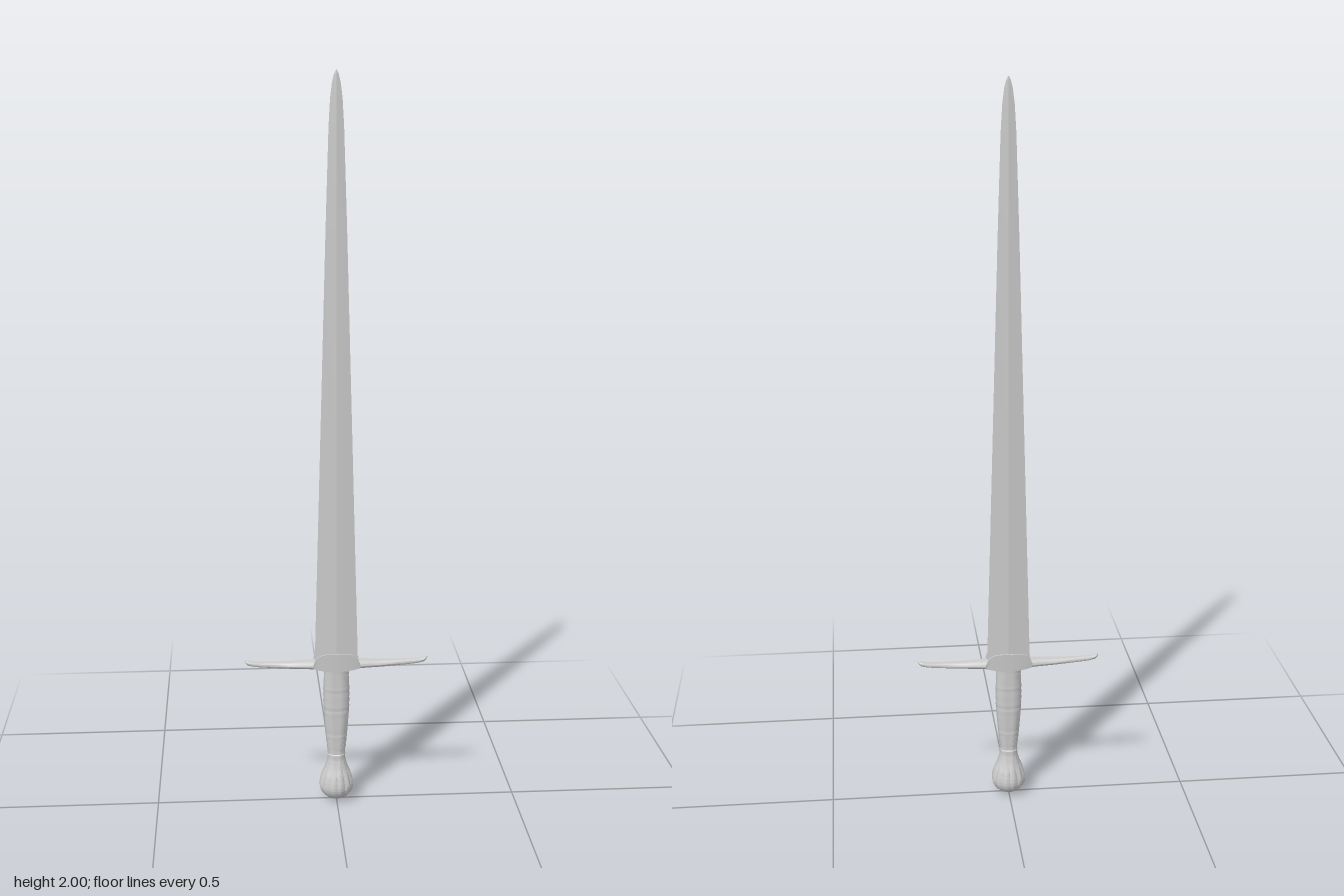
import * as THREE from 'three';
import { toCreasedNormals } from 'three/addons/utils/BufferGeometryUtils.js';

const material = new THREE.MeshStandardMaterial({ color: 0xcccccc });

// Skins a list of rings (each a list of [x, y, z]) and caps both ends.
function loft(name, rings, crease = 0.7) {
  const n = rings[0].length, last = (rings.length - 1) * n;
  const points = rings.flat();
  const index = [];
  for (let r = 0; r < rings.length - 1; r++) {
    for (let i = 0; i < n; i++) {
      const a = r * n + i, b = r * n + (i + 1) % n;
      index.push(a, b, a + n, b, b + n, a + n);
    }
  }
  for (const ring of [rings[0], rings[rings.length - 1]]) {
    points.push([0, 1, 2].map(k => ring.reduce((s, p) => s + p[k], 0) / n));
  }
  const c = rings.length * n;
  for (let i = 0; i < n; i++) {
    const j = (i + 1) % n;
    index.push(c, j, i, c + 1, last + i, last + j);
  }
  const geometry = new THREE.BufferGeometry();
  geometry.setAttribute('position', new THREE.Float32BufferAttribute(points.flat(), 3));
  geometry.setIndex(index);
  const mesh = new THREE.Mesh(toCreasedNormals(geometry, crease), material);
  mesh.name = name;
  return mesh;
}

// Ring around the y axis; shape(angle) scales the radius.
const ringY = (n, y, rx, rz, shape = () => 1) => Array.from({ length: n }, (_, i) => {
  const a = i / n * Math.PI * 2, s = shape(a);
  return [Math.cos(a) * rx * s, y, -Math.sin(a) * rz * s];
});

// Smooth profile through [y, r] points, sampled evenly.
const sample = (pts, count) =>
  new THREE.SplineCurve(pts.map(p => new THREE.Vector2(...p))).getPoints(count);

// Diamond-section blade with a central ridge and rounded point
function blade() {
  const profile = [[0.4, 0.06, 0.0065], [1.0, 0.044, 0.005], [1.6, 0.028, 0.004], [1.86, 0.02, 0.0035],
    [1.93, 0.016, 0.003], [1.97, 0.011, 0.002], [1.99, 0.006, 0.0015], [2.0, 0.001, 0.0005]];
  return loft('blade', profile.map(([y, w, d]) => ringY(4, y, w, d)), 0.08);
}

// Crossguard arms taper outwards and curl up at the ends
function guard() {
  const half = [[0, 0.402, 0.014, 0.027], [0.04, 0.402, 0.014, 0.025], [0.08, 0.402, 0.012, 0.02],
    [0.13, 0.402, 0.01, 0.015], [0.19, 0.404, 0.008, 0.011], [0.225, 0.406, 0.007, 0.0095],
    [0.243, 0.41, 0.007, 0.008], [0.25, 0.414, 0.005, 0.005], [0.253, 0.417, 0.001, 0.001]];
  const left = half.slice(1).reverse().map(([x, ...rest]) => [-x, ...rest]);
  return loft('crossguard', [...left, ...half].map(([x, y, h, d]) =>
    Array.from({ length: 16 }, (_, i) => {
      const a = i / 16 * Math.PI * 2;
      return [x, y + Math.cos(a) * h, Math.sin(a) * d];
    })));
}

// Curved, round-shouldered plate standing on one side of the guard
function guardPlate(name) {
  const rings = [];
  for (let i = 0; i <= 20; i++) {
    const t = i / 10 - 1, x = t * 0.065;
    const top = 0.405 + 0.035 * Math.pow(Math.max(0, 1 - t ** 4), 0.6);
    const bottom = 0.388 + 0.008 * t * t, z = 0.027 - 0.006 * t * t;
    rings.push([[x, top, z], [x, top, z + 0.004], [x, bottom, z + 0.002], [x, bottom, z - 0.003]]);
  }
  return loft(name, rings);
}

// Oval grip with a faint wrapped ripple
function grip() {
  const profile = sample([[0.125, 0.022], [0.18, 0.028], [0.25, 0.034], [0.32, 0.036], [0.395, 0.033]], 64);
  return loft('grip', profile.map(({ x: y, y: w }, i) => {
    const ripple = i % 4 < 2 ? 0 : 0.0008;
    return ringY(24, y, w + ripple, 0.022 + (w - 0.022) * 0.15 + ripple);
  }), 1);
}

// Fluted pear-shaped pommel
function pommel() {
  const profile = sample([[0, 0.002], [0.004, 0.016], [0.015, 0.034], [0.032, 0.046], [0.05, 0.048],
    [0.075, 0.042], [0.1, 0.032], [0.125, 0.025], [0.137, 0.025], [0.142, 0.018]], 36);
  return loft('pommel', profile.map(({ x: y, y: r }) => {
    const depth = 0.1 * Math.sin(Math.PI * THREE.MathUtils.clamp(y / 0.125, 0, 1));
    return ringY(72, y, r, r, a => 1 - depth * (1 - Math.abs(Math.sin(a * 6))));
  }));
}

export function createModel() {
  const sword = new THREE.Group();
  sword.name = 'sword';
  const backPlate = guardPlate('backGuardPlate');
  backPlate.rotation.y = Math.PI;
  sword.add(blade(), guard(), guardPlate('frontGuardPlate'), backPlate, grip(), pommel());
  return sword;
}
